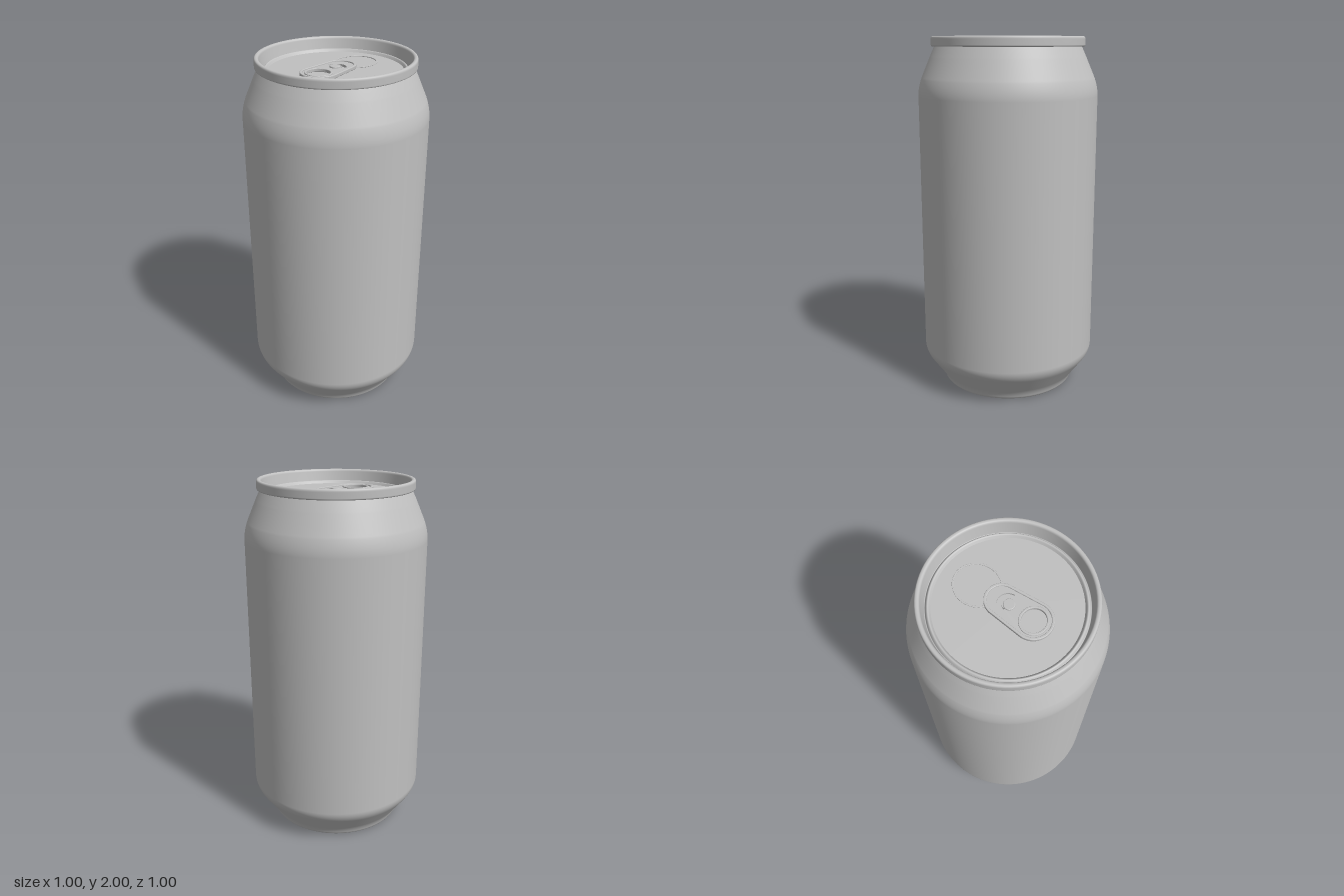
import * as THREE from 'three';

const SEGMENTS = 96;
const LID_Y = 1.925;

// Surface of revolution from a path drawn in (radius, height)
function turned(name, path, material) {
  const mesh = new THREE.Mesh(new THREE.LatheGeometry(path.getPoints(10), SEGMENTS), material);
  mesh.name = name;
  return mesh;
}

// Flat shape (shape y = towards the back) laid horizontally and raised to height y
function plate(name, shape, y, depth, bevel, material) {
  const geometry = new THREE.ExtrudeGeometry(shape, {
    depth: depth - 2 * bevel, curveSegments: 32, bevelEnabled: bevel > 0,
    bevelThickness: bevel, bevelSize: bevel, bevelOffset: -bevel, bevelSegments: 3,
  });
  geometry.rotateX(-Math.PI / 2);
  const mesh = new THREE.Mesh(geometry, material);
  mesh.name = name;
  mesh.position.y = y + bevel;
  return mesh;
}

// Tapered, round-ended tab outline, inset by d
function tabOutline(Type, d) {
  const s = new Type();
  s.absarc(0, -0.14, 0.1 - d, Math.PI, 2 * Math.PI, false);
  s.absarc(0, 0.035, 0.085 - d, 0, Math.PI, false);
  s.closePath();
  return s;
}

function oval(Type, y, rx, ry) {
  const s = new Type();
  s.absellipse(0, y, rx, ry, 0, 2 * Math.PI, false, 0);
  return s;
}

export function createModel() {
  const can = new THREE.Group();
  can.name = 'drinkCan';
  const metal = new THREE.MeshStandardMaterial({ color: 0xc0c0c0 });
  metal.name = 'aluminium grey';

  // Concave underside
  const dome = new THREE.Path();
  dome.moveTo(0, 0.17);
  dome.bezierCurveTo(0.14, 0.17, 0.27, 0.13, 0.335, 0.05);
  dome.quadraticCurveTo(0.352, 0.02, 0.358, 0.006);
  can.add(turned('baseDome', dome, metal));

  // Standing ring, tapered foot, straight wall, shoulder and neck
  const wall = new THREE.Path();
  wall.moveTo(0.358, 0.006);
  wall.quadraticCurveTo(0.361, 0, 0.368, 0);
  wall.quadraticCurveTo(0.38, 0, 0.386, 0.016);
  wall.quadraticCurveTo(0.394, 0.04, 0.41, 0.062);
  wall.lineTo(0.474, 0.15);
  wall.quadraticCurveTo(0.5, 0.185, 0.5, 0.22);
  wall.lineTo(0.5, 1.68);
  wall.quadraticCurveTo(0.5, 1.725, 0.48, 1.78);
  wall.lineTo(0.435, 1.885);
  wall.quadraticCurveTo(0.417, 1.925, 0.405, 1.95);
  can.add(turned('body', wall, metal));

  // Rolled rim, countersunk inner wall and bead around the lid
  const rim = new THREE.Path();
  rim.moveTo(0.403, 1.946);
  rim.lineTo(0.416, 1.946);
  rim.quadraticCurveTo(0.425, 1.946, 0.425, 1.955);
  rim.lineTo(0.425, 1.985);
  rim.quadraticCurveTo(0.425, 2, 0.413, 2);
  rim.quadraticCurveTo(0.401, 2, 0.399, 1.986);
  rim.lineTo(0.387, 1.925);
  rim.quadraticCurveTo(0.384, 1.92, 0.381, 1.928);
  rim.quadraticCurveTo(0.372, 1.948, 0.363, 1.936);
  rim.lineTo(0.356, LID_Y);
  can.add(turned('rim', rim, metal));

  // Flat lid
  const lid = new THREE.Mesh(new THREE.CircleGeometry(0.357, SEGMENTS), metal);
  lid.name = 'lid';
  lid.rotation.x = -Math.PI / 2;
  lid.position.y = LID_Y;
  can.add(lid);

  // Raised line around the mouth opening
  const score = oval(THREE.Shape, 0.176, 0.113, 0.122);
  score.holes.push(oval(THREE.Path, 0.176, 0.105, 0.114));
  can.add(plate('mouthOutline', score, LID_Y, 0.005, 0.0015, metal));

  // Pull tab: pierced web with a curled edge and a ringed finger hole
  const tab = new THREE.Group();
  tab.name = 'pullTab';
  const web = tabOutline(THREE.Shape, 0.004);
  web.holes.push(oval(THREE.Path, -0.145, 0.064, 0.06));
  const slot = new THREE.Path();
  slot.absarc(0, 0, 0.055, 0, Math.PI, false);
  slot.absarc(0, 0, 0.03, Math.PI, 0, true);
  slot.closePath();
  web.holes.push(slot);
  tab.add(plate('tabWeb', web, LID_Y + 0.004, 0.01, 0, metal));

  const edge = tabOutline(THREE.Shape, 0);
  edge.holes.push(tabOutline(THREE.Path, 0.014));
  tab.add(plate('tabEdge', edge, LID_Y + 0.001, 0.02, 0.004, metal));

  const ring = oval(THREE.Shape, -0.145, 0.075, 0.071);
  ring.holes.push(oval(THREE.Path, -0.145, 0.063, 0.059));
  tab.add(plate('fingerHoleRing', ring, LID_Y + 0.002, 0.018, 0.003, metal));

  // Rivet holding the tab
  const rivet = oval(THREE.Shape, -0.007, 0.029, 0.029);
  tab.add(plate('rivet', rivet, LID_Y, 0.022, 0.004, metal));
  can.add(tab);

  return can;
}
